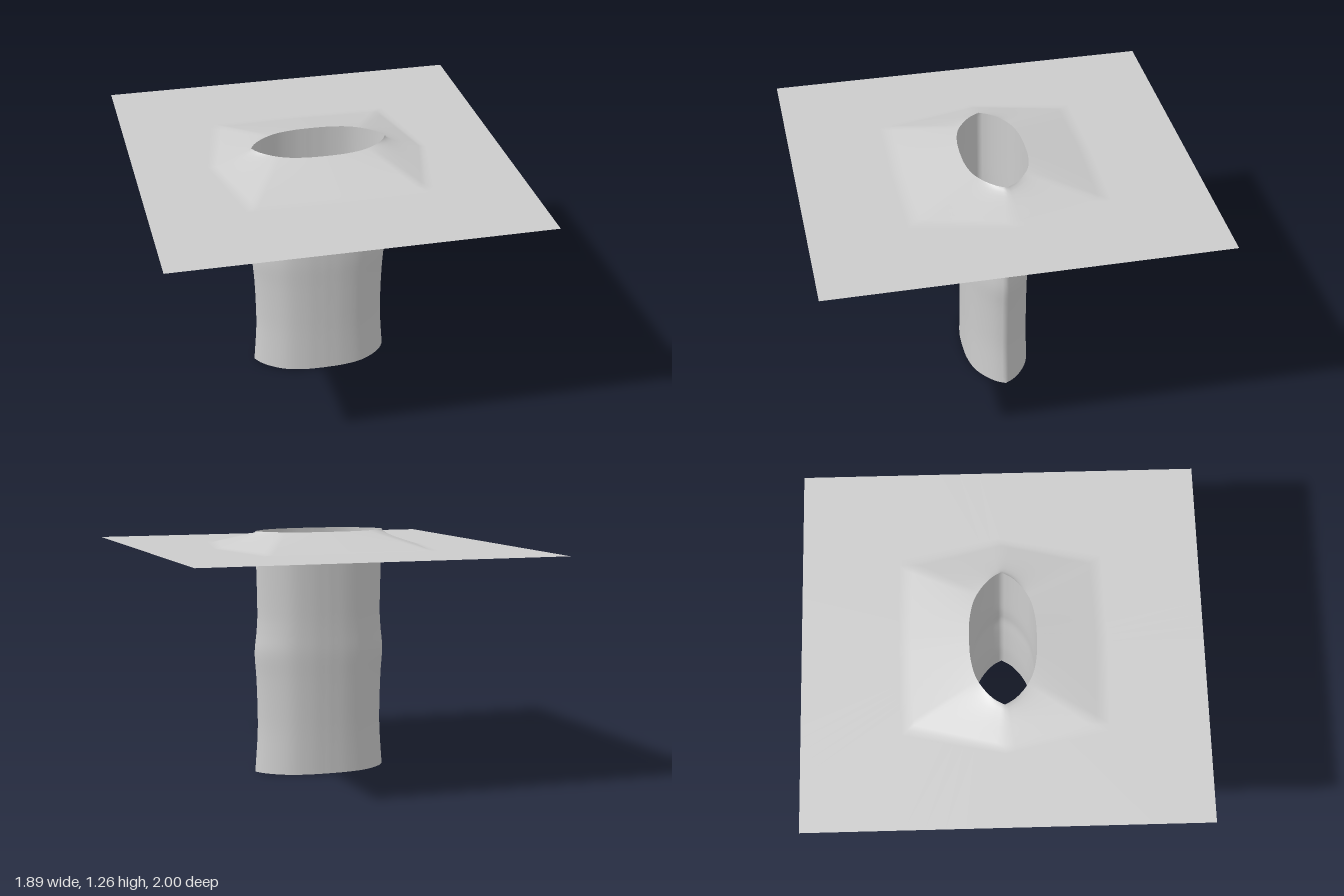
import * as THREE from 'three';

const N = 24;      // steps per quarter outline
const CORNER = 10; // step where the outlines turn their corner

// Mirror a quarter outline (from +x round to +z) into a closed loop of [x, z, u]
function closeLoop(quarter) {
  const loop = [];
  for (let i = 0; i < 4 * N; i++) {
    const q = Math.floor(i / N), k = i % N;
    const j = q % 2 ? N - k : k;
    const [x, z] = quarter(j);
    loop.push([q === 1 || q === 2 ? -x : x, q > 1 ? -z : z, j / N]);
  }
  return loop;
}

// Pointed oval of the slot
const ovalCurve = new THREE.CatmullRomCurve3([
  [0.35, 0], [0.325, 0.045], [0.275, 0.095], [0.2, 0.14], [0.1, 0.163], [0, 0.168],
].map(([x, z]) => new THREE.Vector3(x, 0, z)));
const oval = closeLoop((j) => {
  const p = ovalCurve.getPointAt(j / N);
  return [p.x, p.z];
});

// Straight sided outline: side middle, corner, front middle
const polygon = (sx, cx, cz, fz) => closeLoop((j) => {
  const t = j < CORNER ? j / CORNER : (j - CORNER) / (N - CORNER);
  return j < CORNER ? [sx + (cx - sx) * t, cz * t] : [cx * (1 - t), cz + (fz - cz) * t];
});

// Skin a series of closed rings of [x, y, z]
function loft(rings) {
  const n = rings[0].length, index = [];
  for (let r = 0; r < rings.length - 1; r++) {
    for (let i = 0; i < n; i++) {
      const a = r * n + i, b = r * n + (i + 1) % n;
      index.push(a, b, a + n, b, b + n, a + n);
    }
  }
  const geo = new THREE.BufferGeometry();
  geo.setAttribute('position', new THREE.Float32BufferAttribute(rings.flat(2), 3));
  geo.setIndex(index);
  geo.computeVertexNormals();
  return geo;
}

export function createModel() {
  const group = new THREE.Group();
  const grey = new THREE.MeshStandardMaterial({ color: 0xcccccc, side: THREE.DoubleSide });
  grey.name = 'plain grey';
  const add = (name, geo) => {
    const mesh = new THREE.Mesh(geo, grey);
    mesh.name = name;
    group.add(mesh);
  };

  // Tube, slightly bulged in width along its height
  const widths = new THREE.SplineCurve([
    [1.265, 1.0], [1.1, 0.99], [0.85, 0.975], [0.74, 0.99], [0.63, 1.02],
    [0.5, 0.995], [0.35, 0.98], [0.2, 0.98], [0, 1.02],
  ].map(([y, s]) => new THREE.Vector2(s, y)));
  add('tube', loft(widths.getPoints(32).map((p) =>
    oval.map(([x, z]) => [x * p.x, p.y, z * (0.5 + p.x / 2)]))));

  // Sheet with a sloped mound rising to the slot rim
  const foot = polygon(0.55, 0.44, 0.48, 0.49);
  const edge = polygon(0.945, 0.945, 1, 1);
  const rings = [0, 0.03, 0.1, 0.2, 0.35, 0.5, 0.65, 0.8, 0.9, 1].map((f) =>
    oval.map(([x, z, u], i) => {
      const dip = 0.014 * Math.sin(Math.PI * Math.sqrt(f)) * Math.max(0, 1 - u * 2.4);
      return [x + (foot[i][0] - x) * f, 1.18 + 0.085 * (1 - f) - dip, z + (foot[i][1] - z) * f];
    }));
  for (const f of [0.06, 1]) {
    rings.push(foot.map(([x, z], i) =>
      [x + (edge[i][0] - x) * f, 1.18, z + (edge[i][1] - z) * f]));
  }
  add('sheet', loft(rings));

  return group;
}
